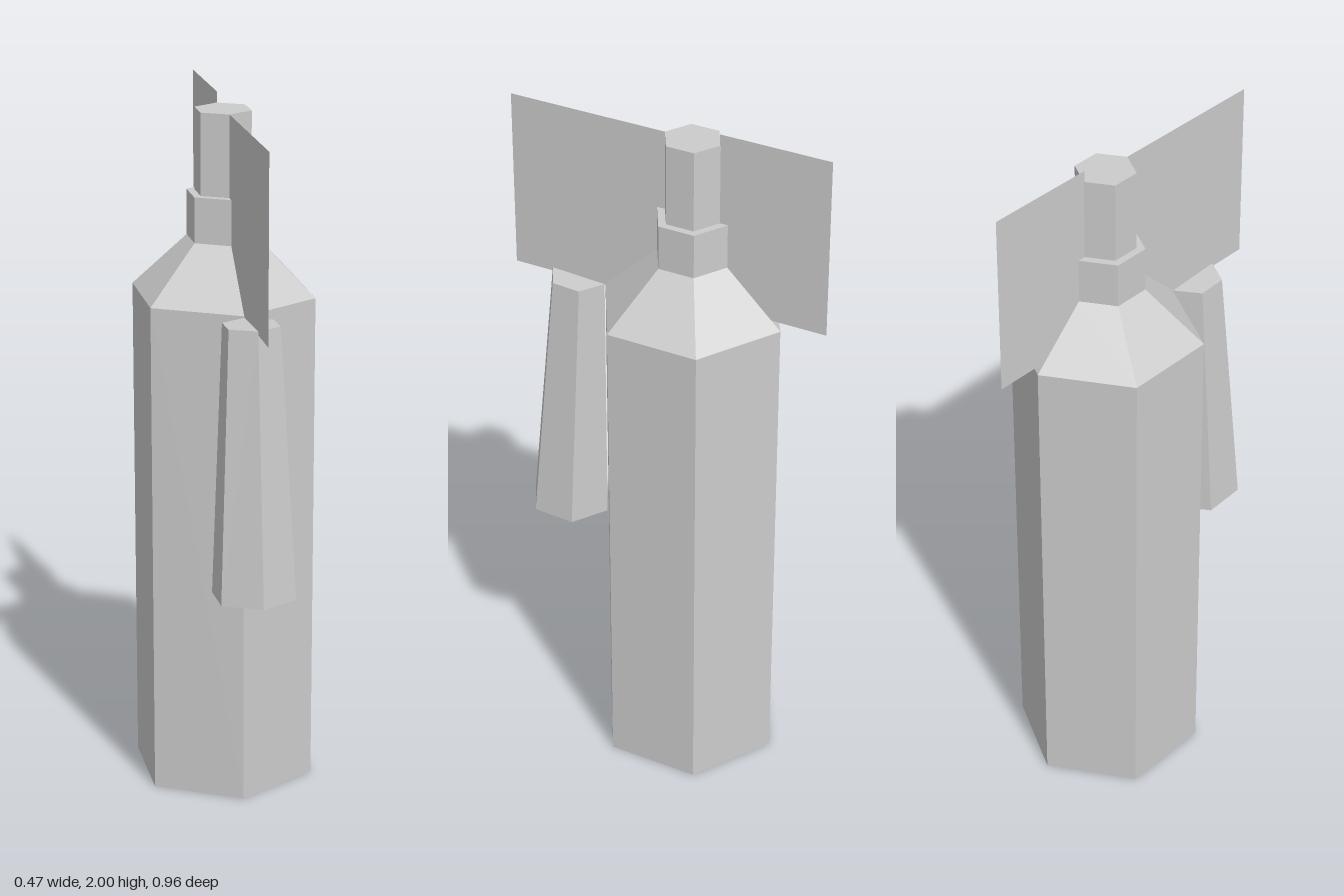
import * as THREE from 'three';

const SIDES = 6;
const AXIS_Z = -0.075; // the bottle stands behind the hose

export function createModel() {
  const model = new THREE.Group();
  const grey = new THREE.MeshStandardMaterial({ color: 0xcccccc, flatShading: true });
  const sheet = new THREE.MeshStandardMaterial({ color: 0xcccccc, side: THREE.DoubleSide });

  function add(name, geometry, material = grey) {
    const mesh = new THREE.Mesh(geometry, material);
    mesh.name = name;
    model.add(mesh);
    return mesh;
  }

  // Bottle: one hexagonal profile (radius, height) with stepped neck and nozzle
  const profile = [
    [0, 0], [0.27, 0], [0.27, 1.45], [0.107, 1.605], [0.107, 1.735],
    [0.083, 1.735], [0.083, 1.968], [0, 1.968],
  ].map(([r, y]) => new THREE.Vector2(r, y));
  add('bottle', new THREE.LatheGeometry(profile, SIDES)).position.z = AXIS_Z;

  // Discharge horn: tapered hexagon hanging in front, leaning outwards
  const horn = add('dischargeHorn', new THREE.CylinderGeometry(0.083, 0.1215, 0.771, SIDES));
  horn.position.set(0, 1.066, 0.301);
  horn.rotation.x = -0.052;

  // Thin upright sheets in the centre plane: hose at the front, handle at the back
  function addSheet(name, zFront, zBack, yLow, yHigh) {
    const mesh = add(name, new THREE.PlaneGeometry(zFront - zBack, yHigh - yLow), sheet);
    mesh.rotation.y = Math.PI / 2;
    mesh.position.set(0, (yLow + yHigh) / 2, (zFront + zBack) / 2);
  }
  addSheet('hoseSheet', 0.481, 0, 1.445, 1.968);
  addSheet('handleSheet', -0.155, -0.481, 1.477, 2);

  return model;
}
